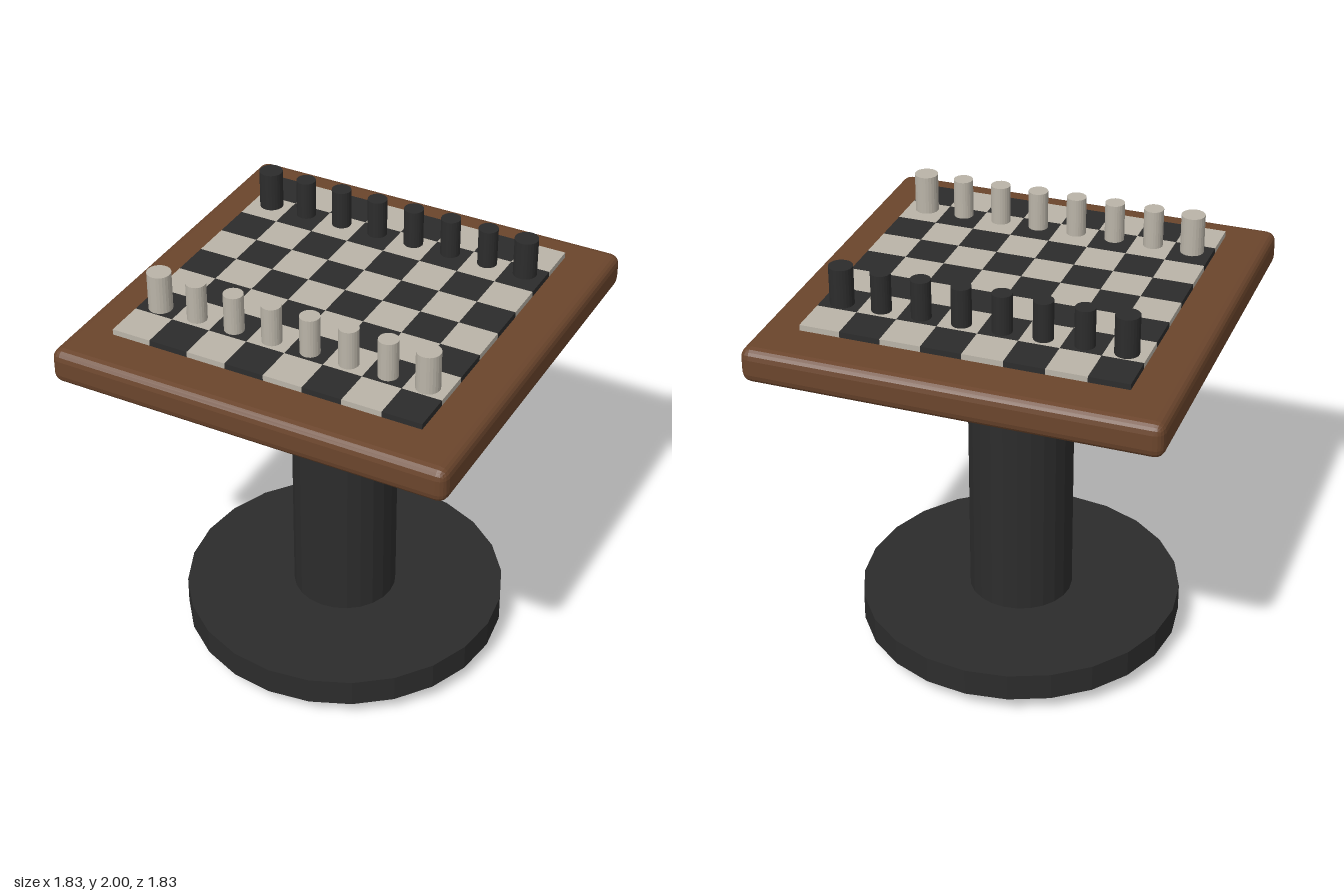
import * as THREE from 'three';
import { RoundedBoxGeometry } from 'three/addons/geometries/RoundedBoxGeometry.js';

export function createModel() {
  const group = new THREE.Group();
  const material = (name, color) => {
    const m = new THREE.MeshStandardMaterial({ color, flatShading: true });
    m.name = name;
    return m;
  };
  const wood = material('wood', 0x6b452c);
  const dark = material('charcoal', 0x2c2c2c);
  const light = material('ivory', 0xbab4a8);

  const add = (name, geometry, mat, x, y, z, parent = group) => {
    const mesh = new THREE.Mesh(geometry, mat);
    mesh.name = name;
    mesh.position.set(x, y, z);
    parent.add(mesh);
  };
  const cylinder = (r, h) => new THREE.CylinderGeometry(r, r, h, 24);

  // Pedestal: a column running through a round base disc
  add('column', cylinder(0.24, 1.64), dark, 0, 0.82, 0);
  add('baseDisc', cylinder(0.745, 0.13), dark, 0, 0.15, 0);

  // Table top with softened edges
  add('tableTop', new RoundedBoxGeometry(1.83, 0.16, 1.83, 2, 0.045), wood, 0, 1.692, 0);

  // Chequered board, raised slightly above the table top
  const board = new THREE.Group();
  board.name = 'board';
  group.add(board);
  const cell = 0.18;
  const square = new THREE.BoxGeometry(cell, 0.026, cell);
  for (let row = 0; row < 8; row++) {
    for (let col = 0; col < 8; col++) {
      add('square', square, (row + col) % 2 ? light : dark,
        (col - 3.5) * cell, 1.81, (row - 3.5) * cell, board);
    }
  }

  // One row of pieces per side, with thicker ones at the ends
  const slim = cylinder(0.044, 0.18);
  const thick = cylinder(0.053, 0.18);
  for (const [name, mat, z] of [['darkPieces', dark, -0.482], ['lightPieces', light, 0.482]]) {
    const pieces = new THREE.Group();
    pieces.name = name;
    group.add(pieces);
    for (let i = 0; i < 8; i++) {
      const end = i === 0 || i === 7;
      add(end ? 'endPiece' : 'piece', end ? thick : slim, mat, (i - 3.5) * cell, 1.91, z, pieces);
    }
  }
  return group;
}
